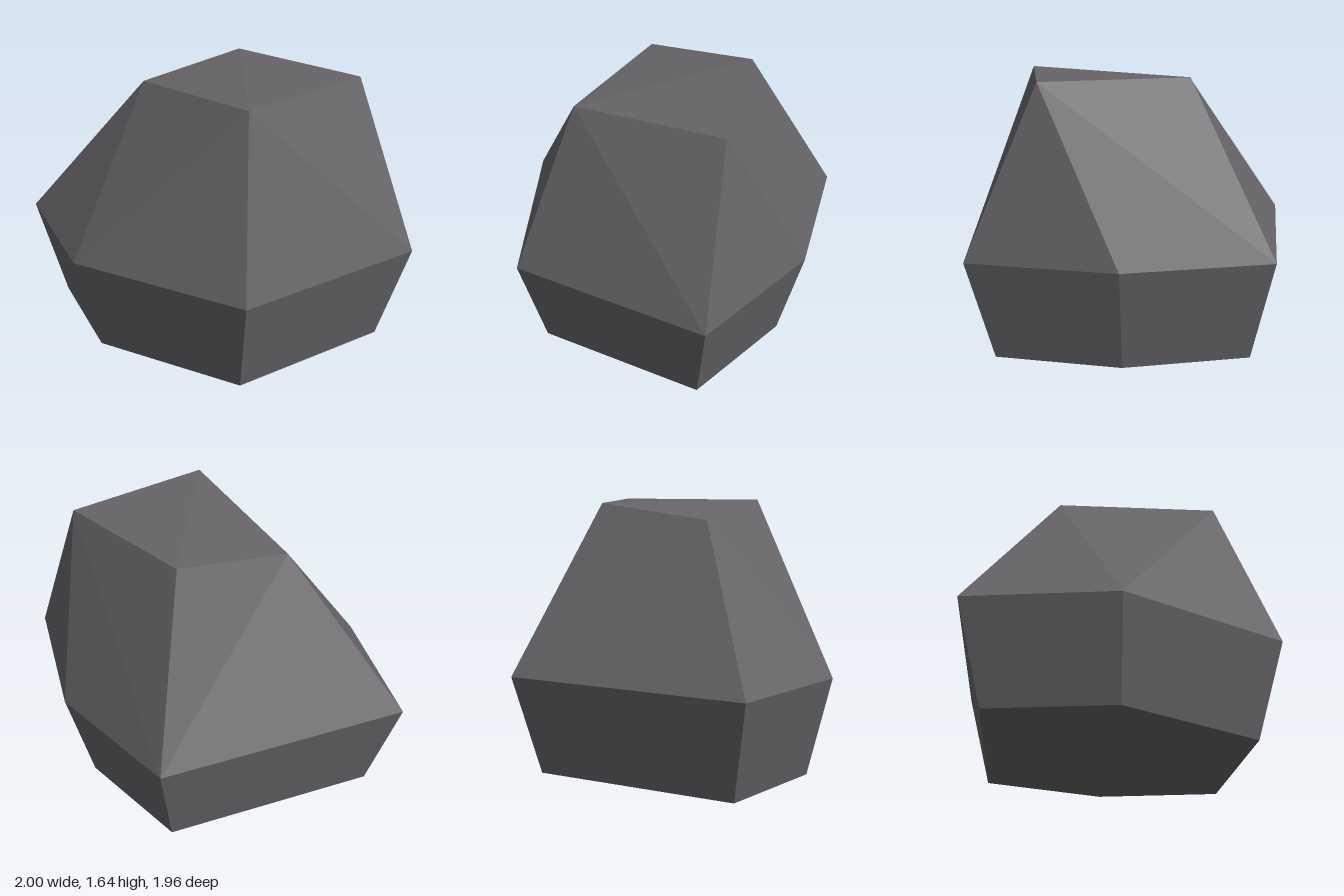
import * as THREE from 'three';

export function createModel() {
  const stone = new THREE.MeshStandardMaterial({ color: 0x666467, flatShading: true });
  stone.name = 'stone grey';

  // Widest ring (x, z), running front-left corner and on round the rock
  const ring = [[-0.49, 0.98], [0.78, 0.98], [1, 0.08], [0.78, -0.82], [-0.79, -0.98], [-1, -0.08]];
  const n = ring.length;
  const baseScale = 0.84, waist = 0.61;

  // Corners: base ring 0-5, waist ring 6-11, crown 12-15
  const points = [
    ...ring.map(([x, z]) => [x * baseScale, 0, z * baseScale]),
    ...ring.map(([x, z]) => [x, waist, z]),
    [-0.24, 1.64, 0.65], [0.67, 1.64, 0.55], [0.41, 1.64, -0.33], [-0.30, 1.55, -0.36],
  ];
  const [A, B, C, D, E, F, T1, T2, T3, T4] = [6, 7, 8, 9, 10, 11, 12, 13, 14, 15];

  // Flared lower wall and flat underside
  const lower = [];
  for (let i = 0; i < n; i++) {
    const j = (i + 1) % n;
    lower.push([i, j, n + j], [i, n + j, n + i]);
    if (i > 0 && i < n - 1) lower.push([0, i + 1, i]);
  }

  // Sloping facets up to the crown
  const slopes = [
    [A, B, T1], [B, T2, T1],
    [B, C, T2], [C, D, T2], [D, T3, T2],
    [D, E, T4], [D, T4, T3],
    [E, F, T4], [F, T1, T4], [F, A, T1],
  ];
  const crown = [[T1, T2, T3], [T1, T3, T4]];

  const facets = (name, faces) => {
    const geometry = new THREE.BufferGeometry();
    const corners = faces.flat().flatMap((i) => points[i]);
    geometry.setAttribute('position', new THREE.Float32BufferAttribute(corners, 3));
    geometry.computeVertexNormals();
    const mesh = new THREE.Mesh(geometry, stone);
    mesh.name = name;
    return mesh;
  };

  const rock = new THREE.Group();
  rock.name = 'rock';
  rock.add(facets('rockBase', lower), facets('rockSlopes', slopes), facets('rockCrown', crown));
  return rock;
}
